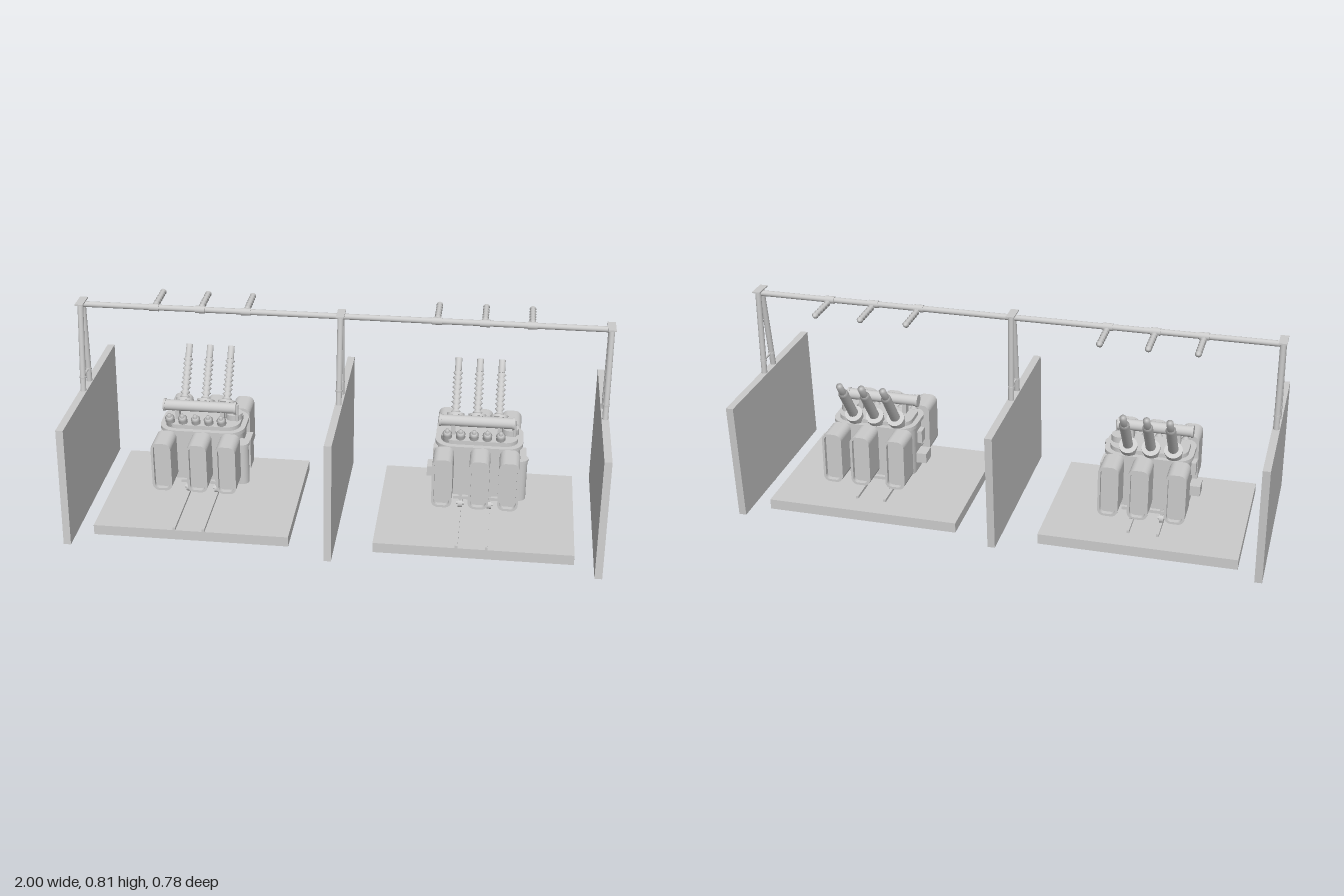
import * as THREE from 'three';

const grey = new THREE.MeshStandardMaterial({ color: 0xcccccc });

function add(parent, name, geo, x = 0, y = 0, z = 0) {
  const m = new THREE.Mesh(geo, grey);
  m.name = name;
  m.position.set(x, y, z);
  parent.add(m);
  return m;
}

const box = (w, h, d) => new THREE.BoxGeometry(w, h, d);
const cyl = (r, h, n = 20) => new THREE.CylinderGeometry(r, r, h, n);

// Cylinder running between two points
function rod(parent, name, a, b, r, n = 16) {
  const A = new THREE.Vector3(...a), B = new THREE.Vector3(...b);
  const m = add(parent, name, cyl(r, A.distanceTo(B), n));
  m.position.copy(A).add(B).multiplyScalar(0.5);
  m.quaternion.setFromUnitVectors(new THREE.Vector3(0, 1, 0), B.sub(A).normalize());
  return m;
}

// Closed lathe of alternating sheds along +y, with optional plain cap
function insulator(length, sheds, rIn, rOut, capLength = 0, capR = 0) {
  const pts = [new THREE.Vector2(0, 0)];
  const step = length / sheds;
  for (let i = 0; i < sheds; i++) {
    pts.push(new THREE.Vector2(rIn, i * step));
    pts.push(new THREE.Vector2(rOut, (i + 0.5) * step));
  }
  pts.push(new THREE.Vector2(rIn, length));
  if (capLength) {
    pts.push(new THREE.Vector2(capR, length), new THREE.Vector2(capR, length + capLength));
  }
  pts.push(new THREE.Vector2(0, length + capLength));
  return new THREE.LatheGeometry(pts, 16);
}

function roundedRect(target, w, h, r) {
  const x = w / 2, y = h / 2;
  target.moveTo(-x + r, -y);
  target.lineTo(x - r, -y);
  target.absarc(x - r, -y + r, r, -Math.PI / 2, 0);
  target.lineTo(x, y - r);
  target.absarc(x - r, y - r, r, 0, Math.PI / 2);
  target.lineTo(-x + r, y);
  target.absarc(-x + r, y - r, r, Math.PI / 2, Math.PI);
  target.lineTo(-x, -y + r);
  target.absarc(-x + r, -y + r, r, Math.PI, Math.PI * 1.5);
  return target;
}

function extrude(shape, depth) {
  return new THREE.ExtrudeGeometry(shape, { depth, bevelEnabled: false, curveSegments: 6 });
}

// Plan outline (x, z) raised to a given height
function prism(w, d, r, h) {
  return extrude(roundedRect(new THREE.Shape(), w, d, r), h).rotateX(-Math.PI / 2);
}

// Radiator whose open rim faces +z
function radiator() {
  const g = new THREE.Group();
  g.name = 'radiator';
  const w = 0.076, h = 0.2;
  add(g, 'radiatorCore', extrude(roundedRect(new THREE.Shape(), w, h, 0.026), 0.09));
  const rim = roundedRect(new THREE.Shape(), w, h, 0.026);
  rim.holes.push(roundedRect(new THREE.Path(), w - 0.018, h - 0.018, 0.018));
  add(g, 'radiatorRim', extrude(rim, 0.018), 0, 0, 0.09);
  for (const y of [-0.065, 0.065]) {
    rod(g, 'radiatorPipe', [0, y, -0.03], [0, y, 0.01], 0.011);
  }
  return g;
}

function transformer() {
  const g = new THREE.Group();
  g.name = 'transformer';

  // Tank with flanged lid
  const zc = -0.04;
  add(g, 'tank', prism(0.31, 0.18, 0.06, 0.21), 0, 0.125, zc);
  add(g, 'tankFlange', prism(0.33, 0.2, 0.065, 0.014), 0, 0.322, zc);
  add(g, 'tankLid', prism(0.29, 0.16, 0.05, 0.016), 0, 0.336, zc);

  // Radiators on front and back
  for (const x of [-0.128, 0.008, 0.118]) {
    const f = radiator();
    f.position.set(x, 0.24, 0.07);
    const b = radiator();
    b.position.set(x, 0.24, -0.145);
    b.rotation.y = Math.PI;
    g.add(f, b);
  }

  // Tall bushings leaning backwards
  const lean = -0.65;
  for (const x of [-0.097, -0.014, 0.07]) {
    const b = new THREE.Group();
    b.name = 'tallBushing';
    b.position.set(x, 0.33, -0.095);
    b.rotation.x = lean;
    add(b, 'turret', cyl(0.03, 0.06), 0, 0.025, 0);
    add(b, 'turretFlange', cyl(0.034, 0.01), 0, 0.055, 0);
    add(b, 'sheds', insulator(0.17, 9, 0.01, 0.019, 0.05, 0.013), 0, 0.058, 0);
    g.add(b);
  }

  // Low bushings along the front edge of the lid
  for (let i = 0; i < 5; i++) {
    const m = add(g, 'lowBushing', insulator(0.05, 3, 0.01, 0.018, 0.012, 0.007), -0.12 + i * 0.05, 0.34, 0.02);
    m.rotation.x = 0.4;
  }

  // Oil conservator on two brackets
  rod(g, 'conservator', [-0.15, 0.405, -0.02], [0.125, 0.405, -0.02], 0.021, 24);
  for (const x of [-0.15, 0.125]) rod(g, 'conservatorEnd', [x - 0.004, 0.405, -0.02], [x + 0.004, 0.405, -0.02], 0.024, 24);
  for (const x of [-0.1, 0.075]) add(g, 'conservatorBracket', box(0.016, 0.06, 0.03), x, 0.37, -0.02);
  add(g, 'tapChangerTurret', cyl(0.032, 0.03), 0.115, 0.36, -0.045);
  rod(g, 'oilPipe', [0.13, 0.35, -0.02], [0.13, 0.42, -0.02], 0.007);

  // Side equipment
  add(g, 'sideCylinder', cyl(0.027, 0.165), 0.157, 0.2075, 0.045);
  add(g, 'sideCylinderCap', cyl(0.03, 0.012), 0.157, 0.29, 0.045);
  add(g, 'driveBox', box(0.04, 0.04, 0.06), -0.175, 0.185, -0.04);
  add(g, 'gaugeBox', box(0.02, 0.05, 0.04), -0.163, 0.265, -0.03);
  add(g, 'controlCabinet', box(0.03, 0.12, 0.07), 0.165, 0.21, -0.05);

  // Undercarriage with wheels on rails
  for (const z of [-0.1, 0.02]) {
    add(g, 'axleBeam', box(0.18, 0.012, 0.022), 0, 0.1, z);
    for (const x of [-0.062, 0.049]) {
      add(g, 'axlePost', box(0.012, 0.06, 0.016), x, 0.1, z);
      rod(g, 'wheel', [x - 0.008, 0.071, z], [x + 0.008, 0.071, z], 0.017);
      rod(g, 'axle', [x - 0.015, 0.071, z], [x + 0.015, 0.071, z], 0.006);
    }
  }
  for (const x of [-0.062, 0.049]) add(g, 'rail', box(0.01, 0.012, 0.5), x, 0.049, 0.055);

  // Platform with a square recess underneath
  const slab = new THREE.Shape();
  roundedRect(slab, 0.743, 0.59, 0.0005);
  slab.holes.push(roundedRect(new THREE.Path(), 0.3, 0.21, 0.0005));
  add(g, 'platform', extrude(slab, 0.04).rotateX(-Math.PI / 2), 0, 0.004, 0.01);
  add(g, 'platformRecessTop', box(0.3, 0.016, 0.21), 0, 0.036, 0.01);
  return g;
}

// Leaning fire wall, a parallelogram in side profile
function fireWall() {
  const s = new THREE.Shape([[-0.39, 0.006], [0.357, 0.006], [0.39, 0.472], [-0.36, 0.472]]
    .map(p => new THREE.Vector2(...p)));
  return extrude(s, 0.028).translate(0, 0, -0.014).rotateY(Math.PI / 2);
}

export function createModel() {
  const model = new THREE.Group();
  model.name = 'substationBay';

  // Walls and A-frames
  for (const x of [-0.985, -0.003, 0.985]) {
    add(model, 'fireWall', fireWall(), x);
    rod(model, 'uprightLeg', [x, 0, -0.058], [x, 0.808, -0.058], 0.011);
    rod(model, 'slantedLeg', [x, 0.003, 0.108], [x, 0.808, -0.026], 0.011);
    rod(model, 'legTie', [x, 0.525, 0.022], [x, 0.525, -0.058], 0.004);
    add(model, 'legCollar', cyl(0.0125, 0.008), x, 0.525, -0.058);
    add(model, 'legCollar', cyl(0.0125, 0.008), x, 0.525, 0.021);
    add(model, 'capPlate', box(0.03, 0.005, 0.078), x, 0.8115, -0.04);
  }
  rod(model, 'gantryBeam', [-0.985, 0.799, -0.045], [0.985, 0.799, -0.045], 0.011);

  // Two equal bays, each with a transformer and three insulator strings
  for (const x of [-0.5325, 0.5275]) {
    const t = transformer();
    t.position.x = x;
    model.add(t);
    for (const dx of [-0.175, 0, 0.173]) {
      const s = add(model, 'insulatorString', insulator(0.145, 6, 0.005, 0.0125), x + dx, 0.797, -0.068);
      s.rotation.x = -Math.PI / 2;
      rod(model, 'stringClamp', [x + dx - 0.018, 0.799, -0.045], [x + dx + 0.018, 0.799, -0.045], 0.014);
      rod(model, 'stringHook', [x + dx, 0.797, -0.045], [x + dx, 0.797, -0.072], 0.004);
    }
  }
  return model;
}
